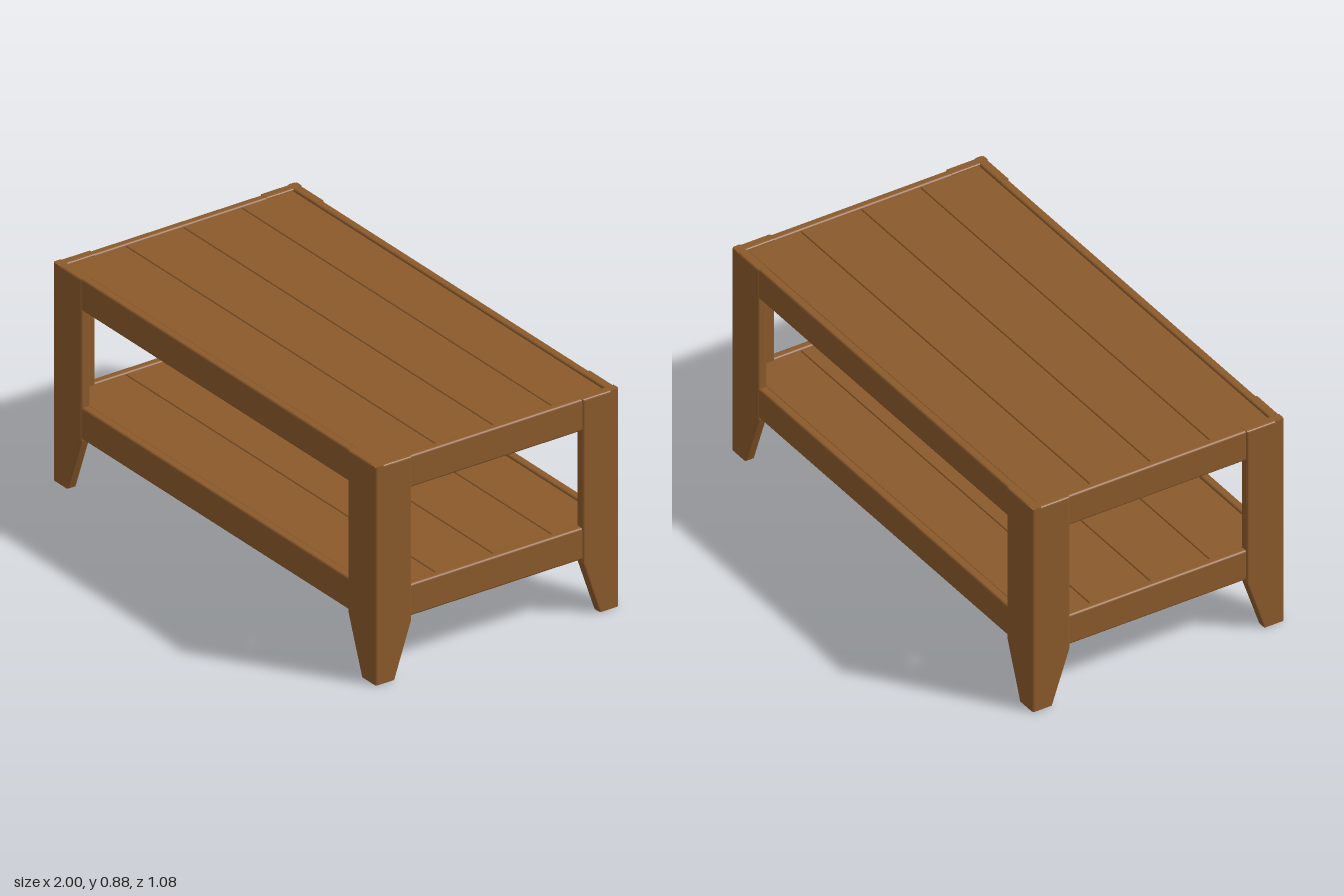
import * as THREE from 'three';
import { RoundedBoxGeometry } from 'three/addons/geometries/RoundedBoxGeometry.js';

const LEG_H = 0.885;   // full height
const HX = 1, HZ = 0.54; // half length and half depth
const T = 0.04;        // leg plank thickness

export function createModel() {
  const wood = new THREE.MeshStandardMaterial({ color: 0x8b5a2b });
  wood.name = 'brown wood';
  const table = new THREE.Group();
  table.name = 'coffeeTable';

  // Softly rounded plank given by its min and max corners
  function plank(parent, name, [x0, y0, z0], [x1, y1, z1], r = 0.006) {
    const mesh = new THREE.Mesh(new RoundedBoxGeometry(x1 - x0, y1 - y0, z1 - z0, 3, r), wood);
    mesh.position.set((x0 + x1) / 2, (y0 + y1) / 2, (z0 + z1) / 2);
    mesh.name = name;
    parent.add(mesh);
  }

  // Leg plank: outer edge on u = 0, tapering on the inner side towards the foot
  function legPlank(width, footWidth, taperY) {
    const b = 0.008;
    const s = new THREE.Shape();
    s.moveTo(b, 0);
    s.lineTo(footWidth - b, 0);
    s.lineTo(width - b, taperY);
    s.lineTo(width - b, LEG_H - b);
    s.lineTo(b, LEG_H - b);
    s.closePath();
    const geo = new THREE.ExtrudeGeometry(s, {
      depth: T - 2 * b, bevelEnabled: true, bevelSize: b, bevelThickness: b, bevelSegments: 3,
    });
    geo.translate(0, 0, b);
    // keep the foot flat on the floor
    const p = geo.attributes.position;
    for (let i = 0; i < p.count; i++) p.setY(i, Math.max(0, p.getY(i)));
    return geo;
  }

  // Four L-shaped legs, each of two planks meeting at the corner
  const wide = legPlank(0.175, 0.092, 0.228);
  const side = legPlank(0.16, 0.087, 0.22);
  for (const sx of [-1, 1]) {
    for (const sz of [-1, 1]) {
      const leg = new THREE.Group();
      leg.name = (sz > 0 ? 'front' : 'back') + (sx > 0 ? 'Left' : 'Right') + 'Leg';
      // the plank is symmetric through its thickness, so turning it mirrors it
      const a = new THREE.Mesh(wide, wood);
      a.name = 'widePlank';
      a.rotation.y = sx > 0 ? Math.PI : 0;
      a.position.set(sx * HX, 0, sz * (HZ - T / 2) + sx * T / 2);
      const c = new THREE.Mesh(side, wood);
      c.name = 'sidePlank';
      c.rotation.y = sz > 0 ? Math.PI / 2 : -Math.PI / 2;
      c.position.set(sx * (HX - T / 2) - sz * T / 2, 0, sz * HZ);
      leg.add(a, c);
      table.add(leg);
    }
  }

  // Tabletop and shelf share one construction: rails, boards and battens
  const boardEdges = [-0.5, -0.27, -0.01, 0.245, 0.5];
  for (const [name, bottom, top] of [['tabletop', 0.755, 0.884], ['shelf', 0.233, 0.362]]) {
    const deck = new THREE.Group();
    deck.name = name;
    const boardTop = top - 0.006, boardBottom = boardTop - 0.035;

    for (const s of [-1, 1]) {
      const z = [s * 0.535, s * 0.5].sort((m, n) => m - n);
      plank(deck, s > 0 ? 'frontRail' : 'backRail', [-0.835, bottom, z[0]], [0.835, top, z[1]], 0.009);
      const x = [s * 0.994, s * 0.96].sort((m, n) => m - n);
      plank(deck, s > 0 ? 'leftRail' : 'rightRail', [x[0], bottom, -0.39], [x[1], top, 0.39], 0.009);
    }

    for (let i = 0; i < 4; i++) {
      plank(deck, 'board' + (i + 1),
        [-0.962, boardBottom, boardEdges[i] + 0.001], [0.962, boardTop, boardEdges[i + 1] - 0.001], 0.005);
    }

    // Cross battens beneath the boards
    for (const x of [-0.7, 0, 0.7]) {
      plank(deck, 'batten', [x - 0.05, boardBottom - 0.038, -0.5], [x + 0.05, boardBottom + 0.002, 0.5], 0.004);
    }
    table.add(deck);
  }
  return table;
}
